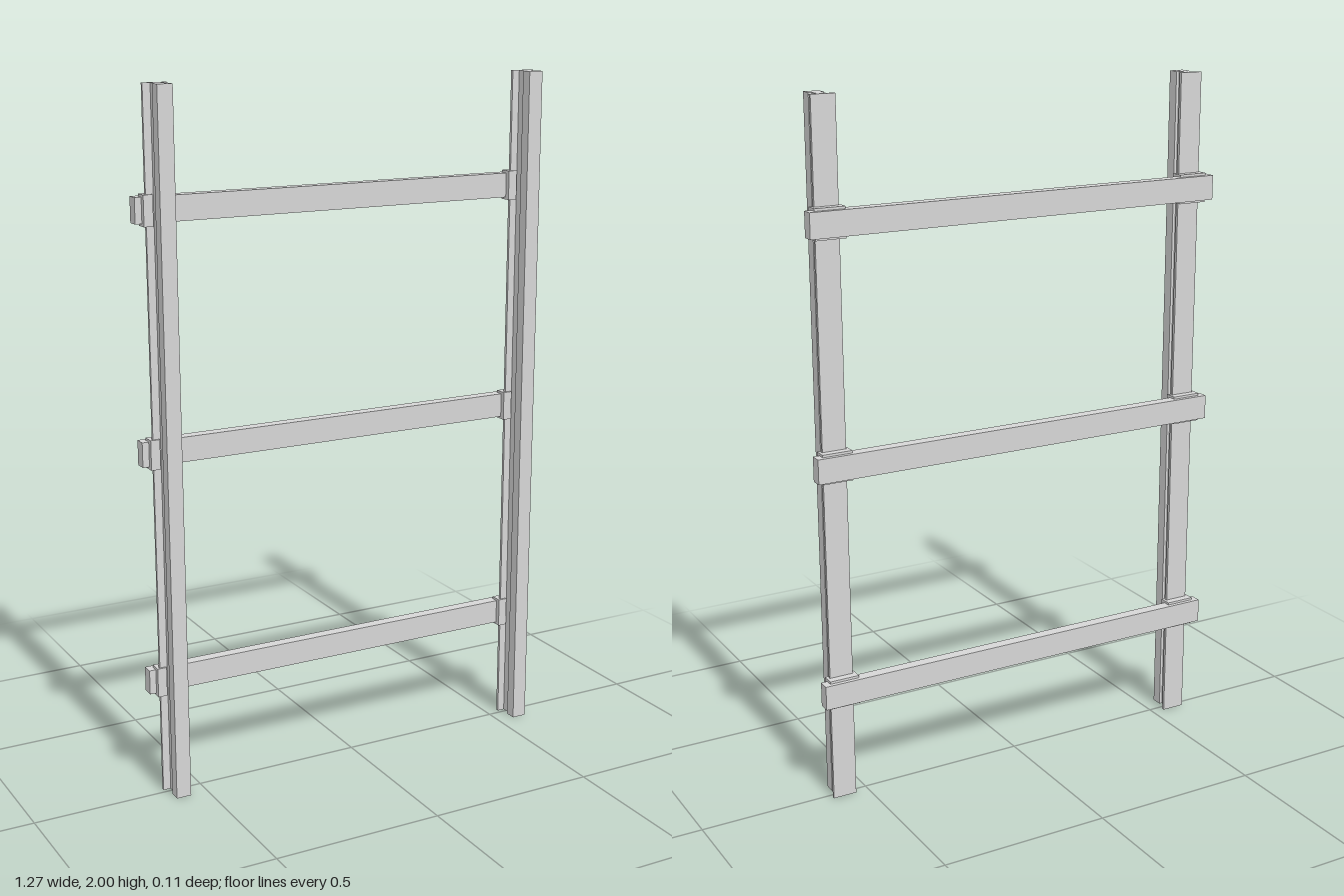
import * as THREE from 'three';

// Extrudes a section, symmetric in x, up the y axis; points are [half width, z] from back to front.
function extrudeSection(half, height) {
  const right = half.map(([x, z]) => new THREE.Vector2(x, -z));
  const left = half.map(([x, z]) => new THREE.Vector2(-x, -z)).reverse();
  const shape = new THREE.Shape([...right, ...left]);
  const geometry = new THREE.ExtrudeGeometry(shape, { depth: height, bevelEnabled: false });
  return geometry.rotateX(-Math.PI / 2);
}

export function createModel() {
  const group = new THREE.Group();
  const steel = new THREE.MeshStandardMaterial({ color: 0xd6d6d6 });
  steel.name = 'light grey steel';

  const add = (name, geometry, x, y, z) => {
    const mesh = new THREE.Mesh(geometry, steel);
    mesh.name = name;
    mesh.position.set(x, y, z);
    group.add(mesh);
  };

  const railX = 0.574;
  const chairHeight = 0.085;

  // Rail section: flat foot, narrow web, wide head
  const rail = extrudeSection([
    [0.035, -0.021], [0.035, -0.012], [0.013, -0.012], [0.013, 0.022],
    [0.022, 0.022], [0.022, 0.055],
  ], 2);

  // Chair section: a plate whose lips wrap over the rail foot
  const chair = extrudeSection([
    [0.044, -0.043], [0.044, -0.006], [0.017, -0.006], [0.017, -0.012],
    [0.036, -0.012], [0.036, -0.021],
  ], chairHeight);

  const sleeper = new THREE.BoxGeometry(1.274, 0.071, 0.034);

  for (const side of [-1, 1]) {
    add(side > 0 ? 'leftRail' : 'rightRail', rail, side * railX, 0, 0);
  }

  // Three sleepers, each with a chair under either rail
  for (const y of [0.335, 1.002, 1.669]) {
    add('sleeper', sleeper, 0, y, -0.038);
    for (const side of [-1, 1]) {
      add('railChair', chair, side * railX, y - chairHeight / 2, 0);
    }
  }
  return group;
}
